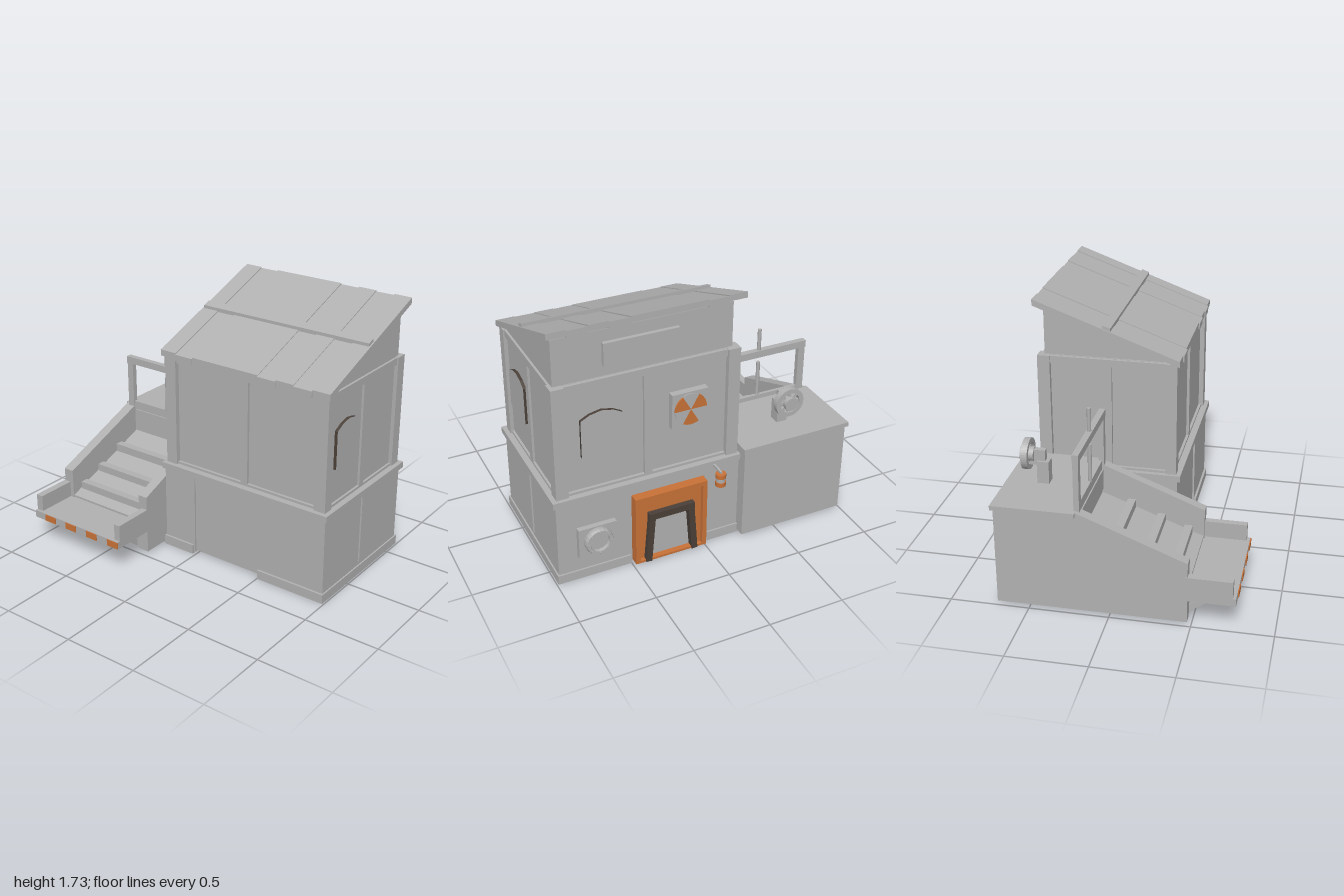
import * as THREE from 'three';

const flat = (name, color) => {
  const m = new THREE.MeshStandardMaterial({ color });
  m.name = name;
  return m;
};

export function createModel() {
  const grey = flat('grey', 0xb0b0b0);
  const orange = flat('orange', 0xc87137);
  const dark = flat('dark brown', 0x4a4038);
  const root = new THREE.Group();
  root.name = 'raisedHut';

  const add = (name, geo, mat = grey, parent = root) => {
    const m = new THREE.Mesh(geo, mat);
    m.name = name;
    parent.add(m);
    return m;
  };
  // box given by its limits on each axis
  const box = (name, x0, x1, y0, y1, z0, z1, mat) => {
    const m = add(name, new THREE.BoxGeometry(x1 - x0, y1 - y0, z1 - z0), mat);
    m.position.set((x0 + x1) / 2, (y0 + y1) / 2, (z0 + z1) / 2);
    return m;
  };
  const shapeOf = pts => new THREE.Shape(pts.map(p => new THREE.Vector2(p[0], p[1])));
  // side profile of [z, y] points, extruded from x0 to x1
  const profile = (name, pts, x0, x1, mat) => {
    const g = new THREE.ExtrudeGeometry(shapeOf(pts), { depth: x1 - x0, bevelEnabled: false });
    g.rotateY(-Math.PI / 2).translate(x1, 0, 0);
    return add(name, g, mat);
  };
  // round part whose axis runs along z
  const disc = (name, x, y, z0, z1, r, mat, sides = 20) => {
    const g = new THREE.CylinderGeometry(r, r, z1 - z0, sides).rotateX(Math.PI / 2);
    const m = add(name, g, mat);
    m.position.set(x, y, (z0 + z1) / 2);
    return m;
  };

  // ---- Lower floor ----
  box('lowerWallWide', 0.49, 0.98, 0.01, 0.58, -0.625, 0.28);
  box('lowerWallNarrow', -0.25, -0.01, 0.01, 0.58, -0.625, 0.28);
  box('lintel', -0.01, 0.49, 0.51, 0.58, -0.625, 0.275);
  box('frontDoor', -0.01, 0.49, 0.02, 0.51, 0.22, 0.268);
  box('passageFloor', -0.01, 0.49, 0.02, 0.04, -0.5, 0.22);
  box('baseTrimWide', 0.5, 0.99, 0, 0.062, -0.637, 0.295);
  box('baseTrimNarrow', -0.26, -0.02, 0, 0.065, -0.637, 0.295);
  box('lowerSidePost', 0.97, 0.99, 0.09, 0.57, -0.195, -0.145);
  box('floorBand', -0.26, 1, 0.57, 0.612, -0.645, 0.302);

  // ---- Upper floor ----
  box('upperWall', -0.21, 0.945, 0.6, 1.36, -0.585, 0.24);
  for (const [x0, x1] of [[-0.24, -0.16], [0.89, 0.97]])
    for (const [z0, z1] of [[-0.62, -0.54], [0.2, 0.272]])
      box('cornerPost', x0, x1, 0.61, 1.36, z0, z1);
  for (const [z0, z1] of [[-0.605, -0.58], [0.235, 0.258]]) {
    box('middlePost', 0.34, 0.39, 0.62, 1.32, z0, z1);
    box('topRail', -0.17, 0.9, 1.31, 1.358, z0, z1);
    box('bottomRail', -0.2, 0.93, 0.61, 0.628, z0, z1);
  }
  for (const [x0, x1] of [[-0.23, -0.2], [0.935, 0.96]]) {
    box('middlePost', x0, x1, 0.62, 1.32, -0.195, -0.145);
    box('topRail', x0, x1, 1.31, 1.358, -0.55, 0.21);
    box('bottomRail', x0, x1, 0.61, 0.628, -0.55, 0.21);
  }

  // ---- Sloping roof ----
  profile('gable', [[0.24, 1.355], [0.24, 1.362], [-0.58, 1.655], [-0.58, 1.355]], -0.2, 0.945);
  const edges = [-0.26, -0.14, -0.01, 0.48, 0.61, 0.735, 0.865, 0.985];
  for (let i = 0; i < edges.length - 1; i++) {
    const d = i % 2 ? 0.007 : 0;
    profile('roofPlank', [[0.29 + d, 1.35 - d], [0.29 + d, 1.39 - d], [-0.635, 1.73 - d], [-0.635, 1.69 - d]],
      edges[i], edges[i + 1]);
  }
  profile('roofBatten', [[-0.145, 1.54], [-0.145, 1.57], [-0.195, 1.588], [-0.195, 1.56]], -0.25, 0.975);
  box('backSignBoard', 0.16, 0.64, 1.43, 1.578, -0.607, -0.575);

  // ---- Arched windows, grey faces with dark edges ----
  const arch = shapeOf([[-0.133, 0], [0.133, 0], [0.133, 0.25], [0.075, 0.28], [0, 0.295], [-0.075, 0.28], [-0.133, 0.25]]);
  const windowAt = (x, y, z, turn) => {
    const g = new THREE.ExtrudeGeometry(arch, { depth: 0.022, bevelEnabled: false });
    const m = add('archedWindow', g, [grey, dark]);
    m.position.set(x, y, z);
    m.rotation.y = turn;
  };
  windowAt(0.943, 0.855, 0.022, Math.PI / 2);
  windowAt(0.66, 0.855, -0.583, Math.PI);

  // ---- Warning sign on the back ----
  box('warningPlate', -0.02, 0.22, 0.91, 1.145, -0.63, -0.58);
  disc('warningDisc', 0.1, 1.03, -0.636, -0.628, 0.105, grey, 24);
  for (let i = 0; i < 3; i++) {
    const g = new THREE.CylinderGeometry(0.106, 0.106, 0.009, 8, 1, false, -Math.PI / 6, Math.PI / 3);
    g.rotateX(Math.PI / 2).rotateZ(i * Math.PI * 2 / 3);
    add('warningBlade', g, orange).position.set(0.1, 1.03, -0.6365);
  }

  // ---- Rear doorway ----
  box('doorFrameLeft', 0.46, 0.49, 0.02, 0.51, -0.687, -0.62, orange);
  box('doorFrameRight', 0, 0.03, 0.02, 0.51, -0.687, -0.62, orange);
  box('doorFrameTop', 0, 0.49, 0.48, 0.51, -0.687, -0.62, orange);
  box('doorSill', 0, 0.49, 0.02, 0.035, -0.687, -0.62, orange);
  const surround = shapeOf([[0.01, 0.03], [0.48, 0.03], [0.48, 0.5], [0.01, 0.5]]);
  const opening = [[0.08, 0.035], [0.41, 0.035], [0.385, 0.37], [0.105, 0.37]];
  surround.holes.push(shapeOf(opening));
  add('doorSurround', new THREE.ExtrudeGeometry(surround, { depth: 0.03, bevelEnabled: false }), orange).position.z = -0.66;
  add('rearDoor', new THREE.ExtrudeGeometry(shapeOf(opening), { depth: 0.02, bevelEnabled: false })).position.z = -0.65;
  for (const s of [-1, 1]) {
    const leg = box('doorTrimLeg', -0.02, 0.02, 0, 0.35, -0.695, -0.64, dark);
    leg.position.set(0.245 + s * 0.145, 0.195, -0.667);
    leg.rotation.z = s * 0.08;
  }
  box('doorTrimHead', 0.09, 0.4, 0.335, 0.38, -0.697, -0.64, dark);

  // ---- Round vent ----
  box('ventPlate', 0.605, 0.855, 0.168, 0.38, -0.66, -0.62);
  const ring = new THREE.LatheGeometry(
    [[0.06, 0], [0.092, 0], [0.092, 0.022], [0.085, 0.04], [0.065, 0.04], [0.06, 0.0]].map(p => new THREE.Vector2(...p)), 20);
  ring.rotateX(-Math.PI / 2);
  const ringMesh = add('ventRing', ring.toNonIndexed());
  ringMesh.geometry.computeVertexNormals();
  ringMesh.position.set(0.73, 0.28, -0.658);
  disc('ventCover', 0.73, 0.28, -0.675, -0.655, 0.062);
  for (let i = 0; i < 8; i++) {
    const a = i * Math.PI / 4;
    disc('ventBolt', 0.73 + 0.075 * Math.cos(a), 0.28 + 0.075 * Math.sin(a), -0.705, -0.69, 0.008, grey, 6);
  }

  // ---- Hanging lantern ----
  box('lanternArm', -0.072, -0.058, 0.575, 0.59, -0.74, -0.62);
  for (const [y, h, r, mat] of [[0.505, 0.03, 0.034, orange], [0.534, 0.03, 0.029, grey], [0.562, 0.028, 0.034, orange]])
    add('lantern', new THREE.CylinderGeometry(r, r, h, 10), mat).position.set(-0.065, y, -0.735);

  // ---- Raised platform and ramp ----
  box('platformBody', -0.985, -0.25, 0.02, 0.66, -0.702, -0.2);
  box('platformTop', -1, -0.238, 0.655, 0.685, -0.718, -0.2);
  for (const [x0, x1] of [[-0.985, -0.913], [-0.322, -0.255]])
    profile('rampSide', [[0.475, 0.02], [0.475, 0.42], [-0.205, 0.688], [-0.205, 0.02]], x0, x1);
  profile('ramp', [[0.47, 0.02], [0.47, 0.235], [-0.2, 0.49], [-0.2, 0.02]], -0.915, -0.32);
  for (const [z, top] of [[0.375, 0.312], [0.2, 0.378], [0.005, 0.461]])
    box('rampTread', -0.905, -0.335, top - 0.055, top, z - 0.026, z + 0.026);
  box('rampHeadBoard', -0.912, -0.335, 0.49, 0.715, -0.21, -0.188);
  box('rampHeadRail', -0.9, -0.335, 0.52, 0.655, -0.19, -0.18);

  // ---- Lower landing with striped edge ----
  box('landing', -0.99, -0.255, 0.17, 0.22, 0.46, 0.765);
  for (const [x0, x1] of [[-0.99, -0.94], [-0.3, -0.255]])
    box('landingCurb', x0, x1, 0.22, 0.33, 0.46, 0.745);
  for (const x of [-0.895, -0.712, -0.528, -0.345])
    box('warningStripe', x, x + 0.09, 0.173, 0.217, 0.764, 0.771, orange);
  for (const x of [-0.865, -0.375])
    profile('landingBrace', [[0.66, 0.17], [0.6, 0.17], [0.42, 0.045], [0.44, 0.01]], x - 0.025, x + 0.025);

  // ---- Rail frame with rod ----
  box('railPost', -0.96, -0.912, 0.66, 1, -0.212, -0.178);
  box('railPost', -0.325, -0.28, 0.66, 1, -0.212, -0.178);
  box('railTop', -0.963, -0.277, 1, 1.048, -0.215, -0.175);
  for (const [y0, y1] of [[0.71, 0.96], [1.04, 1.198]])
    add('rod', new THREE.CylinderGeometry(0.013, 0.013, y1 - y0, 8)).position.set(-0.618, (y0 + y1) / 2, -0.195);

  // ---- Hand wheel on its stand ----
  box('wheelStand', -0.655, -0.583, 0.68, 0.83, -0.52, -0.445);
  box('wheelBracket', -0.64, -0.6, 0.8, 0.9, -0.57, -0.47);
  const rim = new THREE.Shape().absarc(0, 0, 0.098, 0, Math.PI * 2, false);
  rim.holes.push(new THREE.Path().absarc(0, 0, 0.068, 0, Math.PI * 2, true));
  add('wheelRim', new THREE.ExtrudeGeometry(rim, { depth: 0.04, bevelEnabled: false, curveSegments: 20 }))
    .position.set(-0.62, 0.865, -0.603);
  disc('wheelHub', -0.62, 0.865, -0.625, -0.54, 0.045, grey, 16);
  for (let i = 0; i < 4; i++) {
    const spoke = box('wheelSpoke', -0.075, 0.075, -0.009, 0.009, -0.01, 0.01);
    spoke.position.set(-0.62, 0.865, -0.585);
    spoke.rotation.z = i * Math.PI / 4;
  }
  return root;
}
